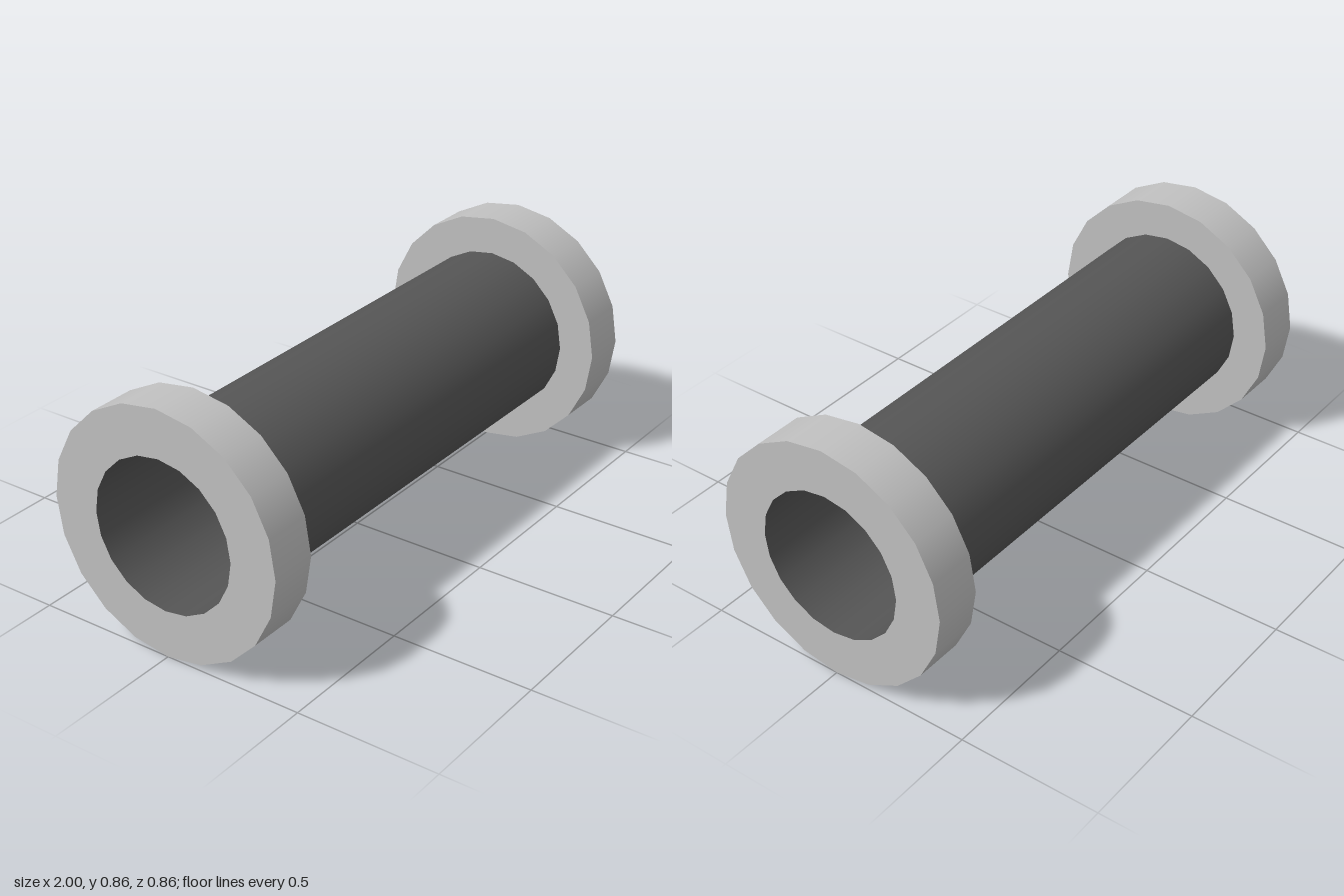
import * as THREE from 'three';
import { mergeGeometries } from 'three/addons/utils/BufferGeometryUtils.js';

const SIDES = 20;
const R_FLANGE = 0.4285, R_TUBE = 0.297, R_BORE = 0.263;
const X_END = 1, X_INNER = 0.83;

// Revolves each profile segment [radius, x] on its own, so rims stay sharp
// while the round walls shade smoothly; the axis is then laid along x.
function revolve(profile) {
  const strips = [];
  for (let i = 0; i < profile.length - 1; i++) {
    const pts = [profile[i], profile[i + 1]].map(([r, x]) => new THREE.Vector2(r, x));
    strips.push(new THREE.LatheGeometry(pts, SIDES));
  }
  return mergeGeometries(strips).rotateZ(-Math.PI / 2);
}

export function createModel() {
  const lightGrey = new THREE.MeshStandardMaterial({ color: 0xc0c0c0 });
  lightGrey.name = 'light grey';
  const darkGrey = new THREE.MeshStandardMaterial({ color: 0x555555 });
  darkGrey.name = 'dark grey';

  const model = new THREE.Group();
  model.name = 'flangedPipe';
  const add = (name, profile, material) => {
    const mesh = new THREE.Mesh(revolve(profile), material);
    mesh.name = name;
    mesh.position.y = R_FLANGE;
    model.add(mesh);
  };

  // Pipe: outer wall between the flanges, bore running the full length
  add('pipeWall', [[R_TUBE, -X_INNER], [R_TUBE, X_INNER]], darkGrey);
  add('pipeBore', [[R_BORE, X_END], [R_BORE, -X_END]], darkGrey);

  // Flanges: end face, rim and back face of each ring
  add('leftFlange', [
    [R_TUBE, X_INNER], [R_FLANGE, X_INNER], [R_FLANGE, X_END], [R_BORE, X_END],
  ], lightGrey);
  add('rightFlange', [
    [R_BORE, -X_END], [R_FLANGE, -X_END], [R_FLANGE, -X_INNER], [R_TUBE, -X_INNER],
  ], lightGrey);

  return model;
}
